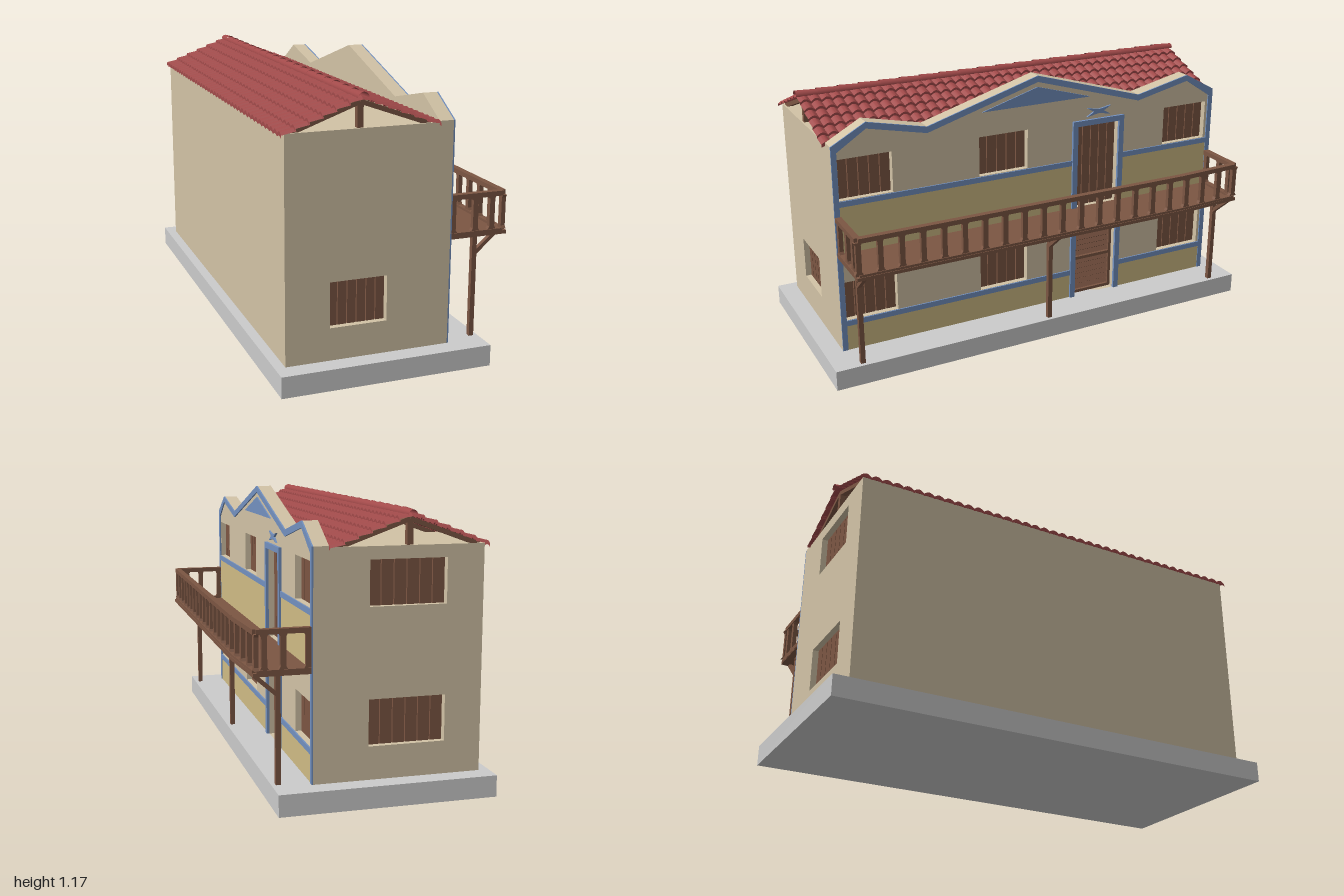
import * as THREE from 'three';
import { toCreasedNormals } from 'three/addons/utils/BufferGeometryUtils.js';
import { ParametricGeometry } from 'three/addons/geometries/ParametricGeometry.js';

const mat = (color, side = THREE.FrontSide) => new THREE.MeshStandardMaterial({ color, side });
const STONE = mat(0xcccccc), WALL = mat(0xd2c3a6), BLUE = mat(0x7391c0), OCHRE = mat(0xcfbc85);
const WOOD = mat(0x7c5643), DARK = mat(0x4a3226), TILE = mat(0xa24a4a, THREE.DoubleSide);

function add(parent, name, geometry, material, x = 0, y = 0, z = 0) {
  const m = new THREE.Mesh(geometry, material);
  m.name = name;
  m.position.set(x, y, z);
  parent.add(m);
  return m;
}
function group(parent, name) {
  const g = new THREE.Group();
  g.name = name;
  parent.add(g);
  return g;
}
// box given by its limits on each axis
const box = (p, name, material, x0, x1, y0, y1, z0, z1) =>
  add(p, name, new THREE.BoxGeometry(x1 - x0, y1 - y0, z1 - z0), material, (x0 + x1) / 2, (y0 + y1) / 2, (z0 + z1) / 2);
// straight beam between two points
function beam(p, name, material, a, b, w, h) {
  const A = new THREE.Vector3(...a), B = new THREE.Vector3(...b);
  const m = add(p, name, new THREE.BoxGeometry(w, h, A.distanceTo(B)), material);
  m.position.copy(A).lerp(B, 0.5);
  m.lookAt(B);
  return m;
}
const shapeOf = pts => new THREE.Shape(pts.map(q => new THREE.Vector2(q[0], q[1])));
const extrude = (shape, depth) => new THREE.ExtrudeGeometry(shape, { depth, bevelEnabled: false });
const rect = ([a, b, c, d]) => [[a, c], [b, c], [b, d], [a, d]];

// wall with openings; its outside lies on local z = 0
function wallPanel(p, name, outline, openings) {
  const s = shapeOf(outline);
  openings.forEach(o => s.holes.push(new THREE.Path(rect(o).map(q => new THREE.Vector2(...q)))));
  add(p, name, extrude(s, 0.06), WALL, 0, 0, -0.06);
}
// upright planks set back in an opening
function planks(p, name, [u0, u1, y0, y1], n) {
  const g = group(p, name), w = (u1 - u0) / n;
  box(g, 'backing', DARK, u0, u1, y0, y1, -0.05, -0.04);
  for (let i = 0; i < n; i++)
    box(g, 'plank', WOOD, u0 + i * w + 0.002, u0 + (i + 1) * w - 0.002, y0, y1, -0.04, -0.025);
}
// slatted door with two louvred fields
function louvreDoor(p, [u0, u1, y0, y1]) {
  const g = group(p, 'louvredDoor'), e = 0.014, mid = (y0 + y1) / 2;
  box(g, 'backing', DARK, u0, u1, y0, y1, -0.055, -0.045);
  box(g, 'stile', WOOD, u0, u0 + e, y0, y1, -0.045, -0.022);
  box(g, 'stile', WOOD, u1 - e, u1, y0, y1, -0.045, -0.022);
  for (const y of [y0, mid - e / 2, y1 - e]) box(g, 'crossRail', WOOD, u0 + e, u1 - e, y, y + e, -0.045, -0.022);
  for (const b of [y0 + e, mid + e / 2])
    for (let i = 0; i < 6; i++) {
      const y = b + (i + 0.5) * (mid - y0 - 1.5 * e) / 6;
      const slat = add(g, 'slat', new THREE.BoxGeometry(u1 - u0 - 2 * e, 0.022, 0.005), WOOD, (u0 + u1) / 2, y, -0.034);
      slat.rotation.x = -0.5;
    }
}

function buildFacade(root) {
  const f = group(root, 'facade');
  f.position.x = 0.235;
  f.rotation.y = Math.PI / 2;
  const top = [[-0.92, 0.995], [-0.77, 1.078], [-0.51, 1.02], [0, 1.17], [0.51, 1.02], [0.77, 1.078], [0.92, 0.995]];
  const windows = [];
  for (const u of [-0.78, -0.16, 0.77])
    for (const y of [0.225, 0.762]) windows.push([u - 0.115, u + 0.115, y, y + 0.175]);
  const lower = [0.2, 0.41, 0.087, 0.44], upper = [0.2, 0.41, 0.53, 0.915];
  wallPanel(f, 'facadeWall', [[-0.92, 0.085], [0.92, 0.085], ...[...top].reverse()], [...windows, lower, upper]);
  windows.forEach(w => planks(f, 'windowShutter', w, 5));
  planks(f, 'balconyDoor', upper, 5);
  louvreDoor(f, lower);
  // painted edge following the gable line
  const inner = top.map(([u, y]) => [u * (Math.abs(u) > 0.9 ? 0.975 : 1), y - 0.027]);
  add(f, 'edgeTrim', extrude(shapeOf([[-0.92, 0.087], ...top, [0.92, 0.087], [0.897, 0.087], ...inner.reverse(), [-0.897, 0.087]]), 0.006), BLUE);
  add(f, 'gableTriangle', extrude(shapeOf([[-0.26, 1.045], [0.26, 1.045], [0, 1.121]]), 0.005), BLUE);
  // dado fields and string courses on both sides of the doors
  for (const [a, b] of [[-0.897, 0.175], [0.435, 0.897]])
    for (const [y0, y1] of [[0.087, 0.2], [0.52, 0.736]]) {
      box(f, 'dado', OCHRE, a, b, y0, y1, 0, 0.003);
      box(f, 'stringCourse', BLUE, a, b, y1, y1 + 0.024, 0, 0.006);
    }
  // door surrounds with a four-pointed ornament above
  for (const [, , y0, y1] of [lower, upper]) {
    const t = y1 + 0.025;
    add(f, 'doorSurround', extrude(shapeOf([[0.175, y0], [0.2, y0], [0.2, y1], [0.41, y1], [0.41, y0], [0.435, y0], [0.435, t], [0.175, t]]), 0.012), BLUE);
    const star = [[-0.06, -0.02], [0, -0.009], [0.06, -0.02], [0.025, 0], [0.06, 0.02], [0, 0.009], [-0.06, 0.02], [-0.025, 0]];
    add(f, 'doorOrnament', extrude(shapeOf(star), 0.008), BLUE, 0.305, t + 0.033, 0);
  }
}

function buildWalls(root) {
  const front = group(root, 'frontEnd');
  front.position.z = 0.92;
  const w = [-0.265, -0.03, 0.22, 0.405];
  wallPanel(front, 'frontWall', rect([-0.445, 0.175, 0.085, 0.99]), [w]);
  planks(front, 'frontShutter', w, 6);
  const back = group(root, 'backEnd');
  back.position.z = -0.92;
  back.rotation.y = Math.PI;
  const holes = [[-0.015, 0.295, 0.22, 0.405], [-0.015, 0.295, 0.762, 0.94]];
  wallPanel(back, 'backWall', rect([-0.175, 0.445, 0.085, 0.99]), holes);
  holes.forEach(h => planks(back, 'backShutter', h, 6));
  box(root, 'rearWall', WALL, -0.445, -0.385, 0.085, 0.99, -0.86, 0.86);
  box(root, 'ceiling', WALL, -0.385, 0.175, 0.97, 0.99, -0.86, 0.86);
}

function buildRoof(root) {
  const roof = group(root, 'roof'), ridge = -0.145, rows = 6;
  for (const eave of [-0.46, 0.175]) {
    const at = (t, lift) => [eave + (ridge - eave) * t, 0.976 + 0.122 * t + lift];
    // overlapping rows of barrel tiles, each with a front lip
    for (let i = 0; i < rows; i++) {
      const profile = [at(i / rows, 0), at(i / rows, 0.012), at(Math.min(1, (i + 1.1) / rows), 0.001)];
      const g = new ParametricGeometry((u, v, out) => {
        const q = profile[Math.round(v * 2)];
        const wave = 0.012 * Math.abs(Math.sin(Math.PI * 40 * u));
        out.set(q[0], q[1] + wave * (v < 0.25 ? 0.6 : 1), (u - 0.5) * 1.87);
      }, 320, 2);
      add(roof, 'tileRow', toCreasedNormals(g, 0.6), TILE);
    }
  }
  // ridge caps
  for (let i = 0; i < 20; i++) {
    const cap = new THREE.CylinderGeometry(0.023, 0.018, 0.105, 10, 1, true, Math.PI / 2, Math.PI);
    add(roof, 'ridgeCap', cap.rotateX(Math.PI / 2), TILE, ridge, 1.106, -0.888 + i * 0.0935);
  }
  // timber trusses
  box(roof, 'ridgeBeam', WOOD, ridge - 0.012, ridge + 0.012, 1.068, 1.092, -0.91, 0.91);
  for (let i = 0; i < 5; i++) {
    const z = -0.9 + i * 0.45;
    box(roof, 'kingPost', WOOD, ridge - 0.012, ridge + 0.012, 0.99, 1.08, z - 0.012, z + 0.012);
    for (const x of [-0.425, 0.14])
      beam(roof, 'rafter', WOOD, [x, 0.986, z], [ridge, 1.088, z], 0.024, 0.018);
  }
}

function buildBalcony(root) {
  const b = group(root, 'balcony');
  const edge = z => 0.468 - Math.max(0, -0.6 - z) * 0.055;
  const deck = shapeOf([[0.235, -0.918], [0.484, -0.918], [0.484, 0.6], [0.464, 0.918], [0.235, 0.918]]);
  add(b, 'deck', extrude(deck, 0.014).rotateX(-Math.PI / 2), WOOD, 0, 0.518, 0);
  // handrail and foot rail around three sides
  const path = [[0.24, 0.906], [0.468, 0.906], [0.468, -0.6], [edge(-0.906), -0.906], [0.24, -0.906]];
  for (const y of [0.532, 0.686])
    for (let i = 0; i < 4; i++)
      beam(b, y > 0.6 ? 'handrail' : 'footRail', WOOD, [path[i][0], y, path[i][1]], [path[i + 1][0], y, path[i + 1][1]], 0.026, 0.02);
  // balusters flared at both ends
  const half = [[0.018, 0], [0.011, 0.012], [0.011, 0.126], [0.018, 0.138]];
  const baluster = extrude(shapeOf([...half, ...half.map(([x, y]) => [-x, y]).reverse()]), 0.018).translate(0, 0, -0.009);
  for (let i = 0; i <= 20; i++) {
    const z = 0.906 - i * 0.0906;
    add(b, 'baluster', baluster, WOOD, edge(z), 0.541, z).rotation.y = Math.PI / 2;
  }
  for (const z of [-0.906, 0.906])
    for (const x of [0.25, 0.347, 0.42]) add(b, 'endBaluster', baluster, WOOD, x, 0.541, z);
  // posts with a brace under the deck
  for (const z of [-0.877, 0, 0.877]) {
    box(b, 'post', WOOD, 0.352, 0.372, 0.087, 0.52, z - 0.01, z + 0.01);
    beam(b, 'brace', WOOD, [0.364, 0.438, z], [0.46, 0.522, z], 0.018, 0.016);
  }
}

export function createModel() {
  const root = new THREE.Group();
  root.name = 'house';
  box(root, 'plinth', STONE, -0.487, 0.389, 0, 0.087, -1, 1);
  buildWalls(root);
  buildFacade(root);
  buildRoof(root);
  buildBalcony(root);
  return root;
}
